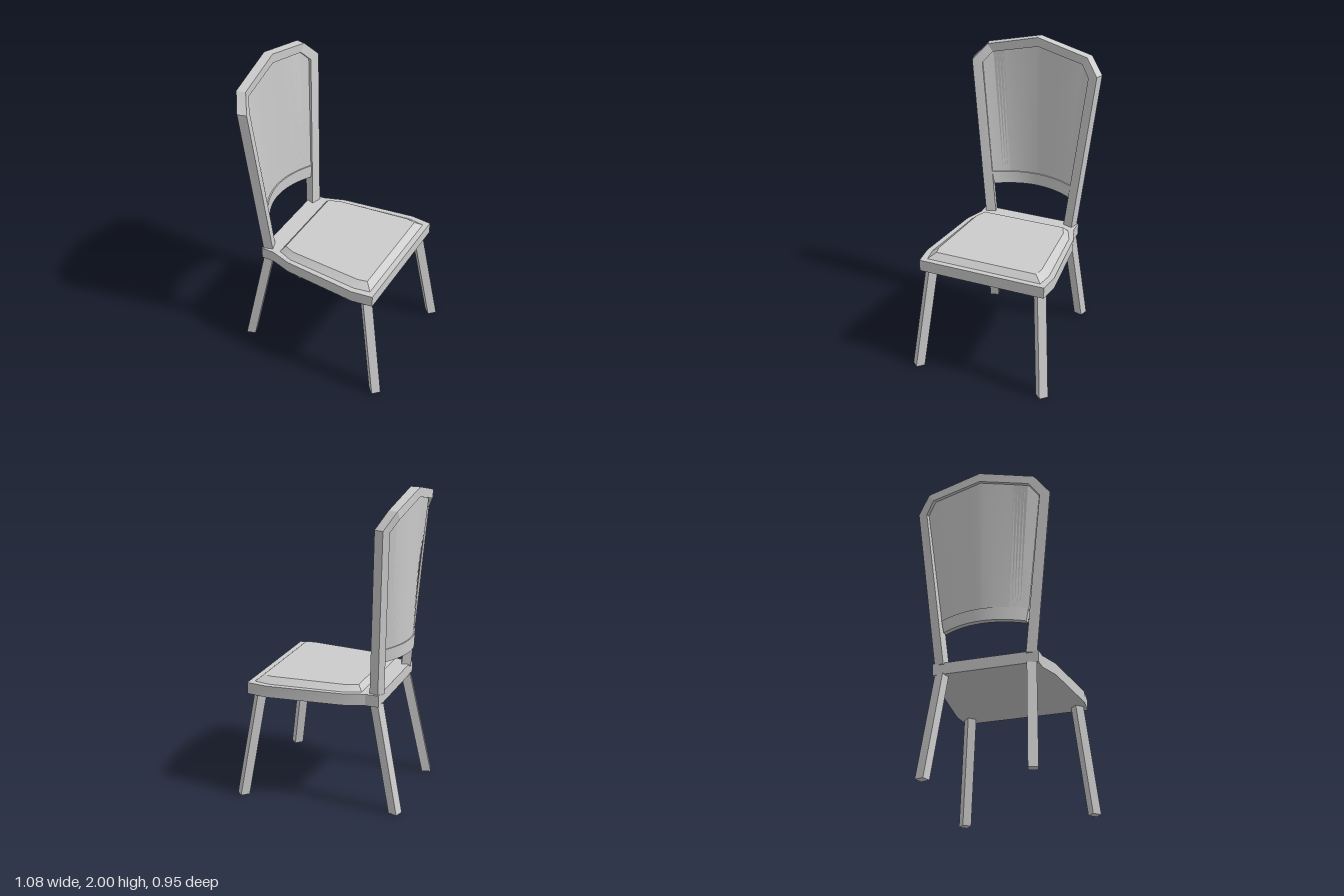
import * as THREE from 'three';
import { toCreasedNormals } from 'three/addons/utils/BufferGeometryUtils.js';

const material = new THREE.MeshStandardMaterial({ color: 0xcccccc });

// Closed solid through rings of equal point count; each end cap is a strip of quads.
function loft(name, rings) {
  const n = rings[0].length, pos = [];
  const quad = (a, b, c, d) => pos.push(...a, ...b, ...c, ...a, ...c, ...d);
  for (let i = 0; i < rings.length - 1; i++) {
    for (let j = 0; j < n; j++) {
      const k = (j + 1) % n;
      quad(rings[i][j], rings[i][k], rings[i + 1][k], rings[i + 1][j]);
    }
  }
  const first = rings[0], last = rings[rings.length - 1];
  for (let j = 0; j < n / 2 - 1; j++) {
    quad(first[j], first[n - 1 - j], first[n - 2 - j], first[j + 1]);
    quad(last[j], last[j + 1], last[n - 2 - j], last[n - 1 - j]);
  }
  // Turn the faces outward if the signed volume is negative
  const a = new THREE.Vector3(), b = new THREE.Vector3(), c = new THREE.Vector3();
  let volume = 0;
  for (let i = 0; i < pos.length; i += 9) {
    a.fromArray(pos, i); b.fromArray(pos, i + 3); c.fromArray(pos, i + 6);
    volume += a.dot(b.cross(c));
  }
  if (volume < 0) {
    for (let i = 0; i < pos.length; i += 9) {
      const p = pos.slice(i + 3, i + 6);
      for (let k = 0; k < 3; k++) {
        pos[i + 3 + k] = pos[i + 6 + k];
        pos[i + 6 + k] = p[k];
      }
    }
  }
  const geometry = new THREE.BufferGeometry();
  geometry.setAttribute('position', new THREE.Float32BufferAttribute(pos, 3));
  const mesh = new THREE.Mesh(toCreasedNormals(geometry, 0.3), material);
  mesh.name = name;
  return mesh;
}

// Horizontal outline, mirrored in z, from half the points [x, z]
const outline = (half, y) => [
  ...half.map(([x, z]) => [x, y, z]),
  ...half.slice().reverse().map(([x, z]) => [x, y, -z]),
];

// Horizontal square turned about y
function square(x, y, z, size, turn) {
  return [0, 1, 2, 3].map((i) => {
    const t = turn + Math.PI / 4 + (i * Math.PI) / 2, r = size * Math.SQRT1_2;
    return [x + r * Math.cos(t), y, z + r * Math.sin(t)];
  });
}

// Curved sheet inside the back frame: corners(u) gives a ring for u from -1 to 1
function curvedSheet(name, corners, steps = 24) {
  const rings = [];
  for (let i = 0; i <= steps; i++) rings.push(corners((2 * i) / steps - 1));
  return loft(name, rings);
}

// Lower edge of the backrest: depth bows backward in the middle
const bowX = (u) => -0.463 + 0.085 * u * u;

// Upper edge of the backrest opening
function archPoint(u) {
  const z = 0.37 * u, d = Math.abs(z);
  return d < 0.31
    ? [-0.485 + 0.065 * d, 1.945 - 0.226 * d, z]
    : [-0.465 + 0.6 * (d - 0.31), 1.875 - 1.2 * (d - 0.31), z];
}

export function createModel() {
  const chair = new THREE.Group();
  chair.name = 'diningChair';

  // Seat board
  const board = [[-0.385, 0.335], [-0.3, 0.335], [-0.165, 0.38], [0.32, 0.435], [0.457, 0.42]];
  chair.add(loft('seatFrame', [outline(board, 0.695), outline(board, 0.77)]));

  // Bevelled cushion
  const low = [[-0.27, 0.31], [-0.165, 0.355], [0.32, 0.405], [0.427, 0.388]];
  const high = [[-0.237, 0.28], [-0.165, 0.31], [0.32, 0.35], [0.38, 0.338]];
  chair.add(loft('seatCushion', [outline(low, 0.765), outline(high, 0.805)]));

  // Splayed legs
  for (const s of [1, -1]) {
    const side = s > 0 ? 'left' : 'right';
    const front = loft(side + 'FrontLeg', [
      square(0.497, 0, s * 0.434, 0.059, Math.PI / 4),
      square(0.388, 0.7, s * 0.368, 0.059, Math.PI / 4),
    ]);
    const rear = loft(side + 'RearLeg', [
      square(-0.503, 0, s * 0.33, 0.06, -s * 0.29),
      square(-0.357, 0.7, s * 0.285, 0.06, -s * 0.29),
    ]);
    chair.add(front, rear);
  }

  // Back frame: post, shoulder and crest; corners outer front, outer back, inner back, inner front
  const half = [
    [[-0.318, 0.76, 0.308], [-0.377, 0.76, 0.325], [-0.397, 0.76, 0.262], [-0.338, 0.76, 0.245]],
    [[-0.38, 1.82, 0.425], [-0.437, 1.82, 0.441], [-0.457, 1.8, 0.378], [-0.4, 1.8, 0.362]],
    [[-0.434, 1.92, 0.34], [-0.492, 1.92, 0.352], [-0.497, 1.87, 0.318], [-0.439, 1.87, 0.306]],
  ];
  const crest = [[-0.455, 2, 0], [-0.515, 2, 0], [-0.515, 1.94, 0], [-0.455, 1.94, 0]];
  const mirrored = half.slice().reverse().map((ring) => ring.map(([x, y, z]) => [x, y, -z]));
  chair.add(loft('backFrame', [...half, crest, ...mirrored]));

  // Bowed lower rail
  chair.add(curvedSheet('lowerBackRail', (u) => {
    const x = bowX(u), zLow = 0.265 * u, zHigh = 0.28 * u;
    return [[x + 0.018, 0.967, zLow], [x + 0.018, 1.05, zHigh], [x - 0.018, 1.05, zHigh], [x - 0.018, 0.967, zLow]];
  }));

  // Thin bowed panel between rail and arch
  chair.add(curvedSheet('backPanel', (u) => {
    const [x, y, z] = archPoint(u), b = bowX(u), zLow = 0.28 * u;
    return [[b + 0.01, 1.04, zLow], [x + 0.01, y, z], [x - 0.01, y, z], [b - 0.01, 1.04, zLow]];
  }, 36));

  return chair;
}
